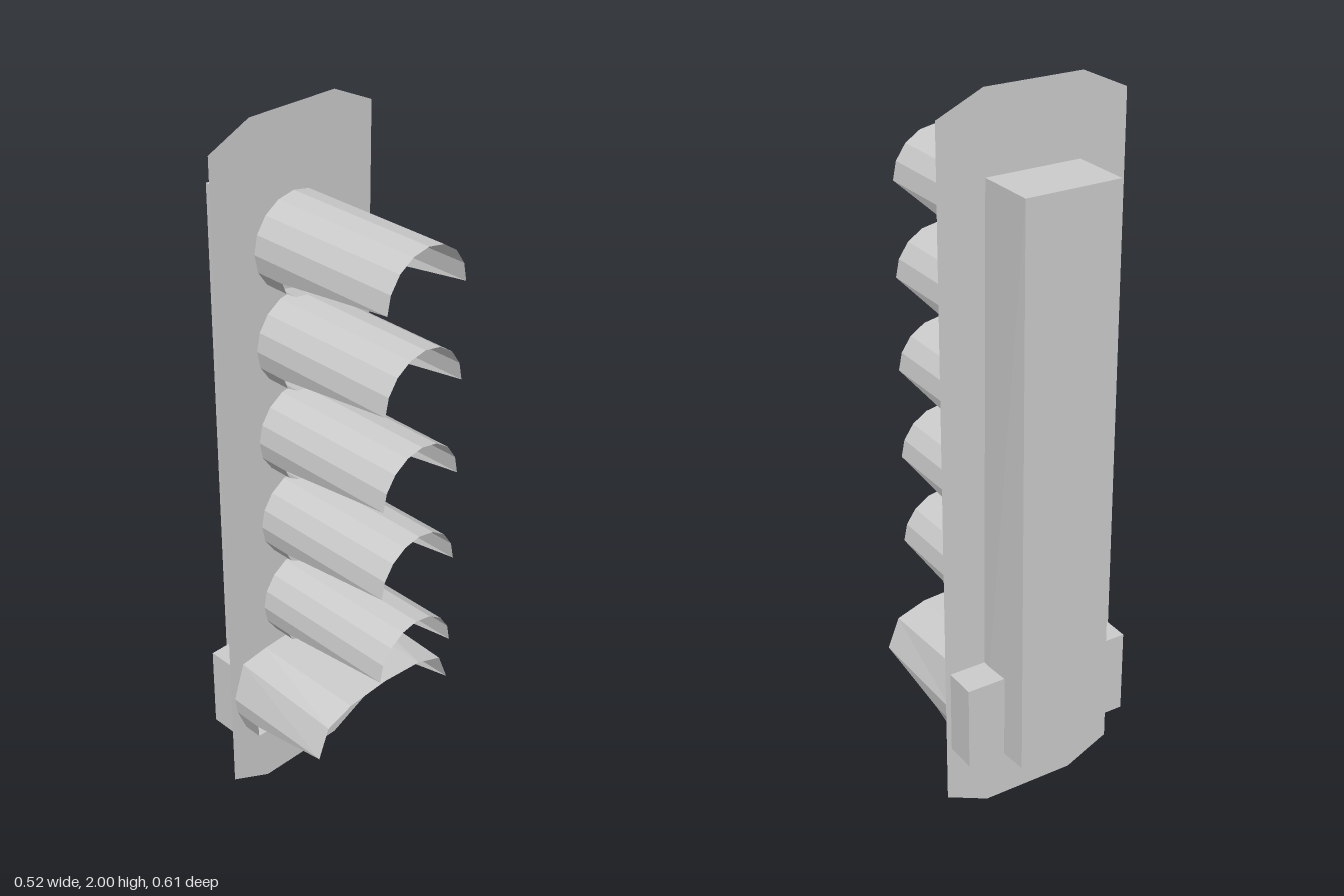
import * as THREE from 'three';

const BACK = -0.137; // plane of the backing plate
const solid = new THREE.MeshStandardMaterial({ color: 0xcccccc, flatShading: true });
const thin = new THREE.MeshStandardMaterial({ color: 0xcccccc, flatShading: true, side: THREE.DoubleSide });

// Open shell from the plate to a cut front edge; ring entries are [x, yBack, yFront, zFront], clockwise.
function hoodGeometry(ring) {
  const pos = [];
  ring.forEach((p, i) => {
    const q = ring[(i + 1) % ring.length];
    const a = [p[0], p[1], BACK], b = [p[0], p[2], p[3]];
    const c = [q[0], q[1], BACK], d = [q[0], q[2], q[3]];
    pos.push(...a, ...b, ...c, ...c, ...b, ...d);
  });
  const g = new THREE.BufferGeometry();
  g.setAttribute('position', new THREE.Float32BufferAttribute(pos, 3));
  g.computeVertexNormals();
  return g;
}

export function createModel() {
  const group = new THREE.Group();
  const add = (name, geometry, material, x = 0, y = 0, z = 0) => {
    const m = new THREE.Mesh(geometry, material);
    m.name = name;
    m.position.set(x, y, z);
    group.add(m);
    return m;
  };

  // Thin backing plate with clipped corners
  const outline = [[0.135, 0], [0.26, 0.06], [0.26, 1.943], [0.135, 2],
    [-0.135, 2], [-0.26, 1.943], [-0.26, 0.06], [-0.135, 0]];
  const plate = new THREE.Shape(outline.map(([x, y]) => new THREE.Vector2(x, y)));
  add('backingPlate', new THREE.ShapeGeometry(plate), thin, 0, 0, BACK);

  // Main housing, its lower inner corner flared slightly on the left
  const housing = new THREE.BoxGeometry(0.262, 1.572, 0.168);
  const hp = housing.attributes.position;
  for (let i = 0; i < hp.count; i++) {
    if (hp.getX(i) > 0 && hp.getY(i) < 0 && hp.getZ(i) > 0) hp.setX(i, hp.getX(i) + 0.012);
  }
  add('housing', housing, solid, 0, 1.004, -0.221);

  // Side boxes behind the wide bottom signal
  for (const s of [-1, 1]) {
    add(s > 0 ? 'leftSideBox' : 'rightSideBox',
      new THREE.BoxGeometry(0.113, 0.24, 0.091), solid, s * 0.1885, 0.34, -0.1825);
  }

  // Round visors: full ring at the plate, cut back to an upper half at the front
  const N = 16;
  const cut = [0.305, -0.05, -0.068, -0.08, -0.085]; // front z for steps below the middle
  const ring = [];
  for (let i = 0; i < N; i++) {
    const t = (i / N) * Math.PI * 2;
    const below = Math.max(0, Math.min(i, N - i) - N / 4);
    const y = 0.128 * Math.cos(t);
    ring.push([0.13 * Math.sin(t), y, y, cut[below]]);
  }
  const visor = hoodGeometry(ring);
  [1.657, 1.396, 1.132, 0.872, 0.607].forEach((y, i) => add('visor' + (i + 1), visor, thin, 0, y, 0));

  // Wide bottom visor, mirrored from its left half
  const half = [[0.13, 0.467, 0.465, 0.2], [0.213, 0.455, 0.435, 0.2], [0.247, 0.35, 0.35, 0.2],
    [0.24, 0.3, 0.3, -0.05], [0.21, 0.228, 0.228, -0.083]];
  const wide = [[0, 0.475, 0.475, 0.2], ...half, [0, 0.22, 0.22, -0.085],
    ...half.slice().reverse().map(([x, ...rest]) => [-x, ...rest])];
  add('wideVisor', hoodGeometry(wide), thin);

  return group;
}
